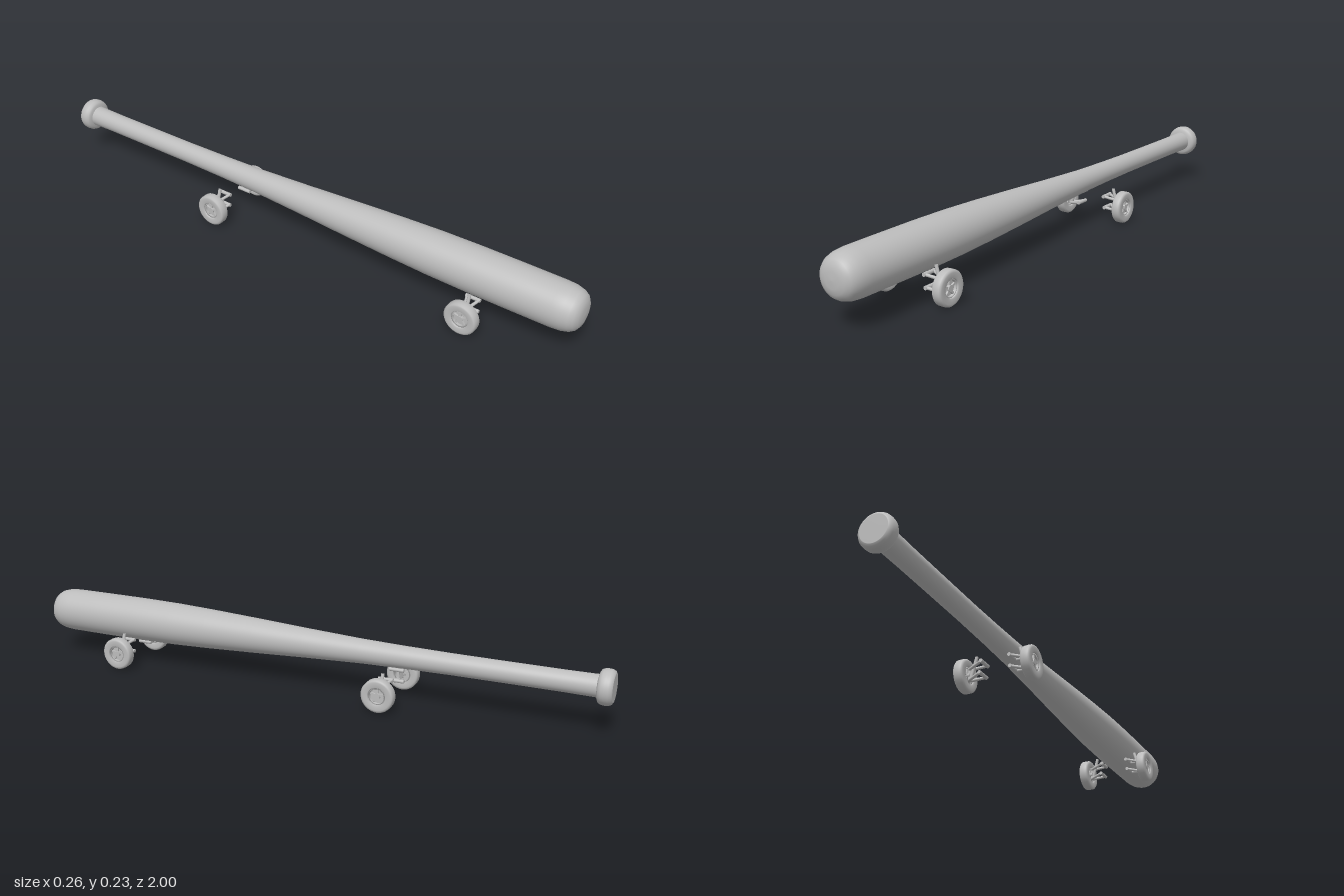
import * as THREE from 'three';

const grey = new THREE.MeshStandardMaterial({ color: 0xbcbcbc });
grey.name = 'plain grey';

const vec = (p) => new THREE.Vector2(p[0], p[1]);

function add(parent, name, geometry) {
  const mesh = new THREE.Mesh(geometry, grey);
  mesh.name = name;
  parent.add(mesh);
  return mesh;
}

// Round bar between two points
function bar(parent, name, a, b, radius) {
  const from = new THREE.Vector3(...a), to = new THREE.Vector3(...b);
  const dir = to.clone().sub(from);
  const mesh = add(parent, name, new THREE.CylinderGeometry(radius, radius, dir.length(), 12));
  mesh.position.copy(from).add(to).multiplyScalar(0.5);
  mesh.quaternion.setFromUnitVectors(new THREE.Vector3(0, 1, 0), dir.normalize());
}

// Tyre, rim, hub and spokes, with the axle along x
function createWheel() {
  const wheel = new THREE.Group();
  wheel.name = 'wheel';
  const tyre = [
    [0.028, -0.013], [0.031, -0.0165], [0.046, -0.0165], [0.051, -0.015], [0.0545, -0.011], [0.055, 0],
    [0.0545, 0.011], [0.051, 0.015], [0.046, 0.0165], [0.031, 0.0165], [0.028, 0.013], [0.028, -0.013],
  ];
  add(wheel, 'tyre', new THREE.LatheGeometry(tyre.map(vec), 40).rotateZ(-Math.PI / 2));
  const rim = [[0.024, -0.011], [0.0285, -0.011], [0.0285, 0.011], [0.024, 0.011], [0.024, -0.011]];
  add(wheel, 'rim', new THREE.LatheGeometry(rim.map(vec), 32).rotateZ(-Math.PI / 2));
  add(wheel, 'wheelDisc', new THREE.CylinderGeometry(0.026, 0.026, 0.006, 32).rotateZ(-Math.PI / 2));
  add(wheel, 'hub', new THREE.CylinderGeometry(0.01, 0.01, 0.024, 20).rotateZ(-Math.PI / 2));
  for (let i = 0; i < 5; i++) {
    const spoke = new THREE.BoxGeometry(0.018, 0.02, 0.007).translate(0, 0.016, 0);
    add(wheel, 'spoke', spoke.rotateX((i * Math.PI * 2) / 5));
  }
  return wheel;
}

// One wheel with its wishbones and strut on the given side
function createCorner(side, z) {
  const corner = new THREE.Group();
  corner.name = side > 0 ? 'leftCorner' : 'rightCorner';
  const wheel = createWheel();
  wheel.position.set(side * 0.1145, 0.055, 0);
  corner.add(wheel);
  // Wishbones: two arms meeting at the wheel, joined by a pivot bar at the inner end
  const wishbones = [
    ['upper', 0.049, 0.087, 0.075],
    ['lower', 0.053, 0.048, 0.038],
  ];
  for (const [name, x, innerY, outerY] of wishbones) {
    for (const s of [-1, 1]) {
      bar(corner, name + 'Arm', [side * x, innerY, s * 0.02], [side * 0.1, outerY, s * 0.003], 0.005);
    }
    bar(corner, name + 'Pivot', [side * x, innerY, -0.025], [side * x, innerY, 0.025], 0.0062);
  }
  bar(corner, 'strut', [side * 0.075, 0.115, 0], [side * 0.095, 0.042, 0], 0.0055);
  bar(corner, 'upright', [side * 0.099, 0.035, 0], [side * 0.099, 0.08, 0], 0.006);
  bar(corner, 'axle', [side * 0.096, 0.055, 0], [side * 0.108, 0.055, 0], 0.008);
  corner.position.z = z;
  return corner;
}

export function createModel() {
  const model = new THREE.Group();
  model.name = 'wheeledBat';

  // Bat body: grip, long taper and rounded barrel, axis along z
  const barrel = [
    [0.036, -0.97], [0.035, -0.94], [0.034, -0.85], [0.034, -0.7], [0.0345, -0.5], [0.0365, -0.35], [0.04, -0.2],
    [0.049, 0], [0.0585, 0.18], [0.067, 0.36], [0.072, 0.5], [0.074, 0.64], [0.074, 0.8], [0.0735, 0.92],
    [0.071, 0.95], [0.065, 0.972], [0.056, 0.986], [0.042, 0.995], [0.024, 0.999], [0, 1],
  ];
  // Knob: flat end with rounded rim
  const knob = [
    [0, -1], [0.044, -1], [0.045, -0.9995], [0.051, -0.996], [0.055, -0.988], [0.056, -0.977],
    [0.055, -0.966], [0.051, -0.958], [0.044, -0.954], [0.034, -0.952],
  ];
  const parts = { batBody: barrel, knob };
  for (const [name, profile] of Object.entries(parts)) {
    const mesh = add(model, name, new THREE.LatheGeometry(profile.map(vec), 56).rotateX(Math.PI / 2));
    mesh.position.y = 0.152;
  }

  // Four wheel assemblies
  for (const z of [0.67, -0.3]) {
    for (const side of [-1, 1]) model.add(createCorner(side, z));
  }
  return model;
}
